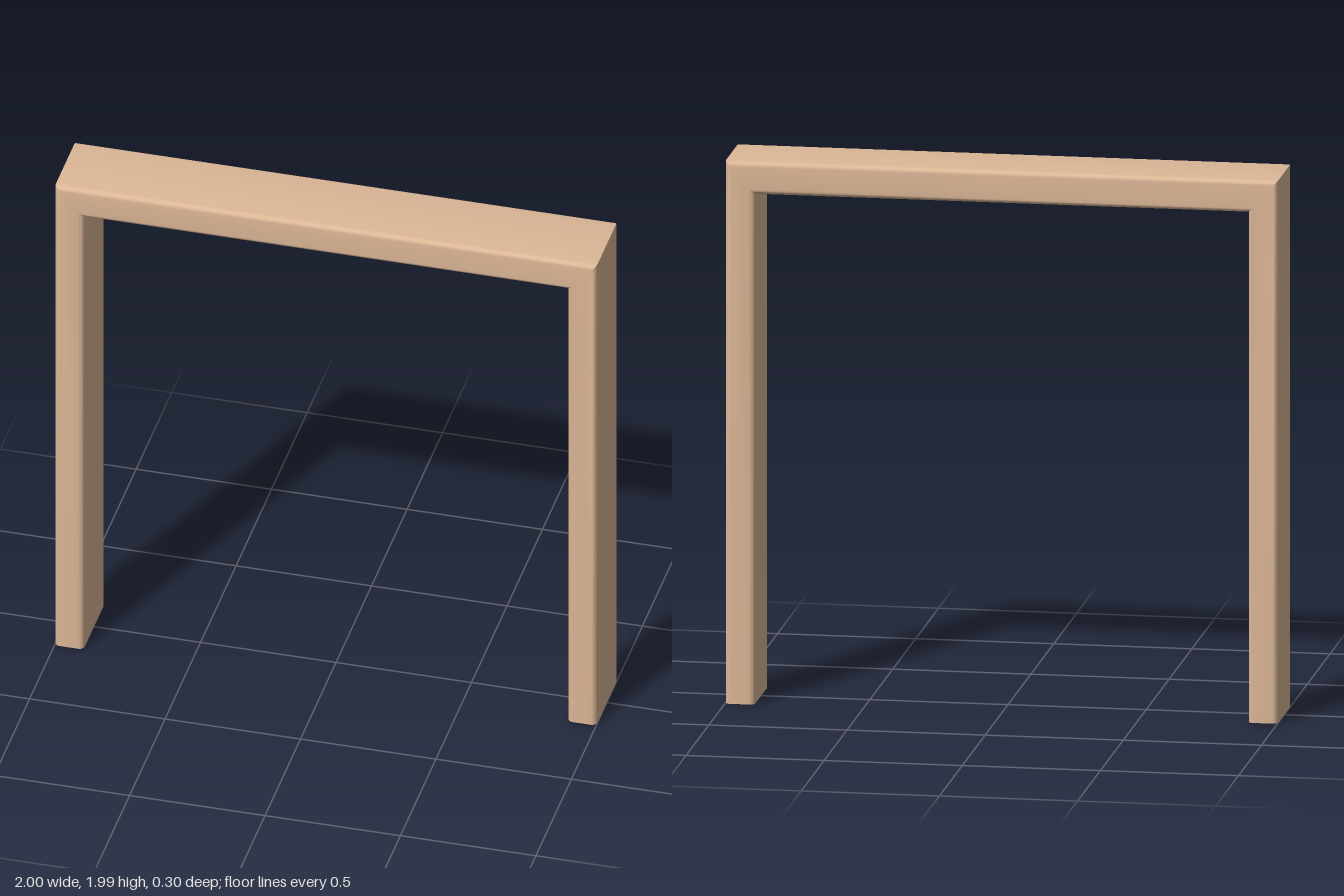
import * as THREE from 'three';
import { toCreasedNormals } from 'three/addons/utils/BufferGeometryUtils.js';

const HALF_WIDTH = 1, HEIGHT = 1.985, DEPTH = 0.3;
const INNER_X = 0.893, INNER_Y = 1.867;
const BEVEL = 0.02;

export function createModel() {
  const group = new THREE.Group();
  group.name = 'doorFrame';

  // U-shaped outline: two jambs and a head; feet run below the floor and are cut flat afterwards
  const foot = -0.1;
  const outline = new THREE.Shape([
    [-HALF_WIDTH, foot], [-INNER_X, foot], [-INNER_X, INNER_Y], [INNER_X, INNER_Y],
    [INNER_X, foot], [HALF_WIDTH, foot], [HALF_WIDTH, HEIGHT], [-HALF_WIDTH, HEIGHT],
  ].map(([x, y]) => new THREE.Vector2(x, y)));

  // Rounded long edges on the front and back faces
  const geometry = new THREE.ExtrudeGeometry(outline, {
    depth: DEPTH - 2 * BEVEL,
    bevelEnabled: true,
    bevelSize: BEVEL,
    bevelThickness: BEVEL,
    bevelOffset: -BEVEL,
    bevelSegments: 5,
  });
  geometry.translate(0, 0, BEVEL - DEPTH / 2);

  // Flatten the feet onto the floor
  const pos = geometry.attributes.position;
  for (let i = 0; i < pos.count; i++) pos.setY(i, Math.max(0, pos.getY(i)));

  const frame = new THREE.Mesh(
    toCreasedNormals(geometry, 0.6),
    new THREE.MeshStandardMaterial({ color: 0xdcb797 }),
  );
  frame.name = 'frame';
  group.add(frame);
  return group;
}
